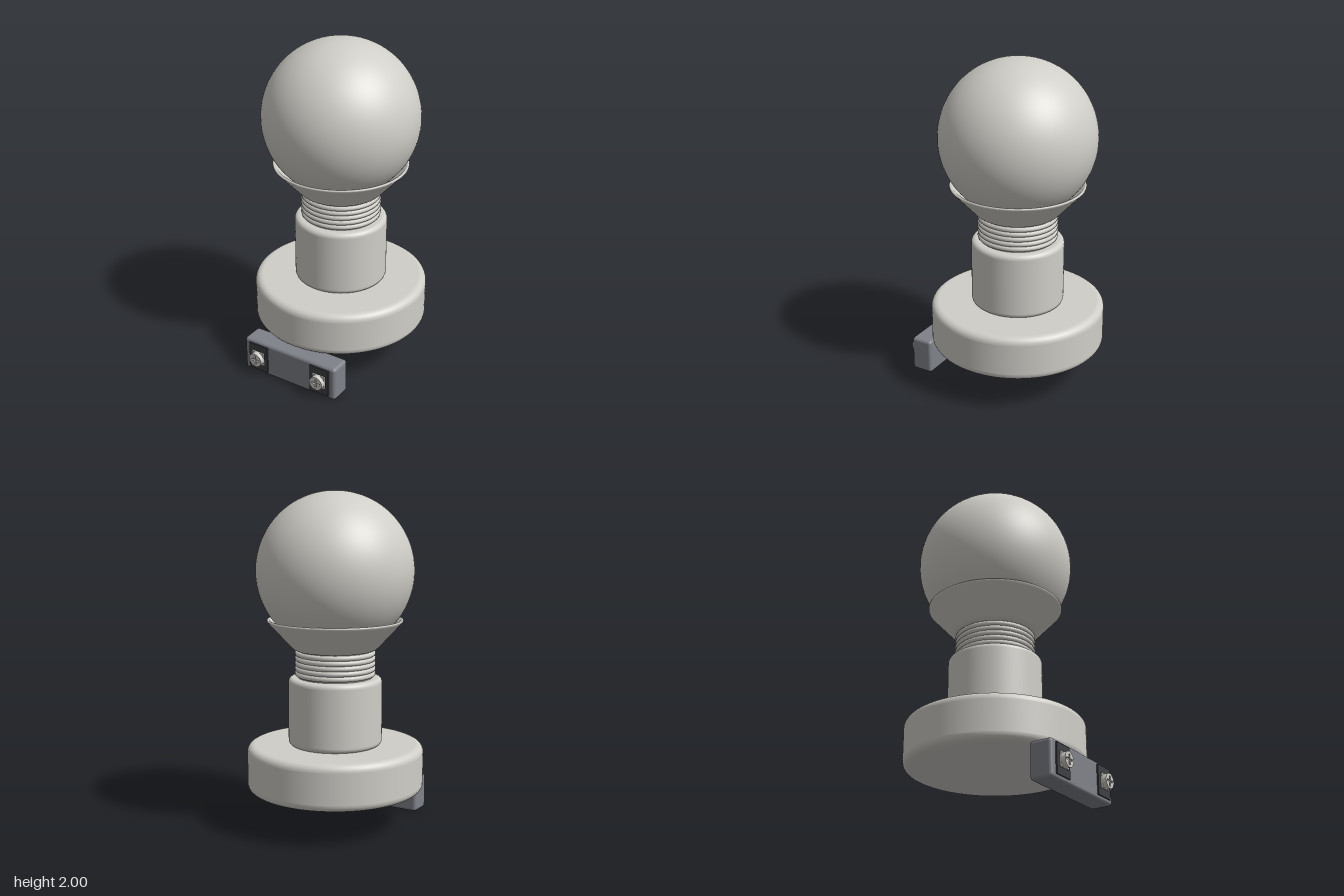
import * as THREE from 'three';
import { RoundedBoxGeometry } from 'three/addons/geometries/RoundedBoxGeometry.js';

const material = (name, color, side = THREE.FrontSide) =>
  Object.assign(new THREE.MeshStandardMaterial({ color, side }), { name });

// Closed drum profile with rounded rims; doubled points keep the flats flat
function drumProfile(radius, y0, y1, fillet) {
  const p = [new THREE.Vector2(0, y0), new THREE.Vector2(radius - fillet - 0.002, y0)];
  const arc = (cy, from) => {
    for (let i = 0; i <= 6; i++) {
      const a = from + (i / 6) * Math.PI / 2;
      p.push(new THREE.Vector2(radius - fillet + fillet * Math.cos(a), cy + fillet * Math.sin(a)));
    }
  };
  arc(y0 + fillet, -Math.PI / 2);
  p.push(new THREE.Vector2(radius, y0 + fillet + 0.002), new THREE.Vector2(radius, y1 - fillet - 0.002));
  arc(y1 - fillet, 0);
  p.push(new THREE.Vector2(radius - fillet - 0.002, y1), new THREE.Vector2(0, y1));
  return p;
}

// Screw head outline with a cross-shaped recess
function screwHeadShape(radius) {
  const shape = new THREE.Shape().absarc(0, 0, radius, 0, Math.PI * 2);
  const w = 0.006, l = 0.03;
  const cross = [[w, w], [w, l], [-w, l], [-w, w], [-l, w], [-l, -w],
    [-w, -w], [-w, -l], [w, -l], [w, -w], [l, -w], [l, w]];
  shape.holes.push(new THREE.Path(cross.map(([x, y]) => new THREE.Vector2(x, y))));
  return shape;
}

export function createModel() {
  const model = new THREE.Group();
  model.name = 'bulbAndLampHolder';
  const ivory = material('warm light grey', 0xd0cec8);
  const ivoryShell = material('warm light grey shell', 0xd0cec8, THREE.DoubleSide);
  const blockGrey = material('terminal grey', 0x7f8289);
  const dark = material('dark plate', 0x3e3f43);

  const add = (parent, name, geometry, mat, x = 0, y = 0, z = 0) => {
    const mesh = new THREE.Mesh(geometry, mat);
    mesh.name = name;
    mesh.position.set(x, y, z);
    parent.add(mesh);
    return mesh;
  };

  // Round lamp on its own axis
  const lamp = new THREE.Group();
  lamp.name = 'lamp';
  lamp.position.z = -0.046;
  model.add(lamp);
  add(lamp, 'base', new THREE.LatheGeometry(drumProfile(0.527, 0.225, 0.5, 0.042), 96), ivory);
  add(lamp, 'socket', new THREE.LatheGeometry(drumProfile(0.279, 0.498, 0.905, 0.028), 80), ivory);
  add(lamp, 'bulb', new THREE.SphereGeometry(0.466, 80, 56), ivory, 0, 1.534);

  // Screw thread
  add(lamp, 'threadCore', new THREE.CylinderGeometry(0.222, 0.222, 0.2, 64), ivory, 0, 0.985);
  for (let i = 0; i < 5; i++) {
    const ring = add(lamp, 'threadRing', new THREE.TorusGeometry(0.224, 0.016, 12, 64), ivory, 0, 0.927 + i * 0.0305);
    ring.rotation.x = Math.PI / 2;
  }

  // Flared collar with a thin rim, open on top
  const collar = [[0, 1.068], [0.225, 1.068], [0.238, 1.07], [0.25, 1.077], [0.262, 1.088],
    [0.395, 1.231], [0.403, 1.24], [0.403, 1.247], [0.397, 1.251], [0.388, 1.249], [0.24, 1.1]];
  add(lamp, 'collar', new THREE.LatheGeometry(collar.map(([r, y]) => new THREE.Vector2(r, y)), 80), ivoryShell);

  // Terminal block at the front
  const terminal = new THREE.Group();
  terminal.name = 'terminal';
  model.add(terminal);
  add(terminal, 'terminalBlock', new RoundedBoxGeometry(0.65, 0.218, 0.138, 4, 0.02), blockGrey, 0, 0.109, 0.458);
  for (const side of [-1, 1]) {
    const x = side * 0.219, y = 0.112;
    add(terminal, 'contactPlate', new THREE.BoxGeometry(0.132, 0.175, 0.009), dark, x, y, 0.5315);
    add(terminal, 'screwWasher', new THREE.BoxGeometry(0.085, 0.085, 0.009), ivory, x, y, 0.5405);
    const disc = add(terminal, 'screwCore', new THREE.CylinderGeometry(0.04, 0.04, 0.018, 32), ivory, x, y, 0.552);
    disc.rotation.x = Math.PI / 2;
    add(terminal, 'screwHead', new THREE.ExtrudeGeometry(screwHeadShape(0.044),
      { depth: 0.027, bevelEnabled: false, curveSegments: 24 }), ivory, x, y, 0.545);
  }
  return model;
}
